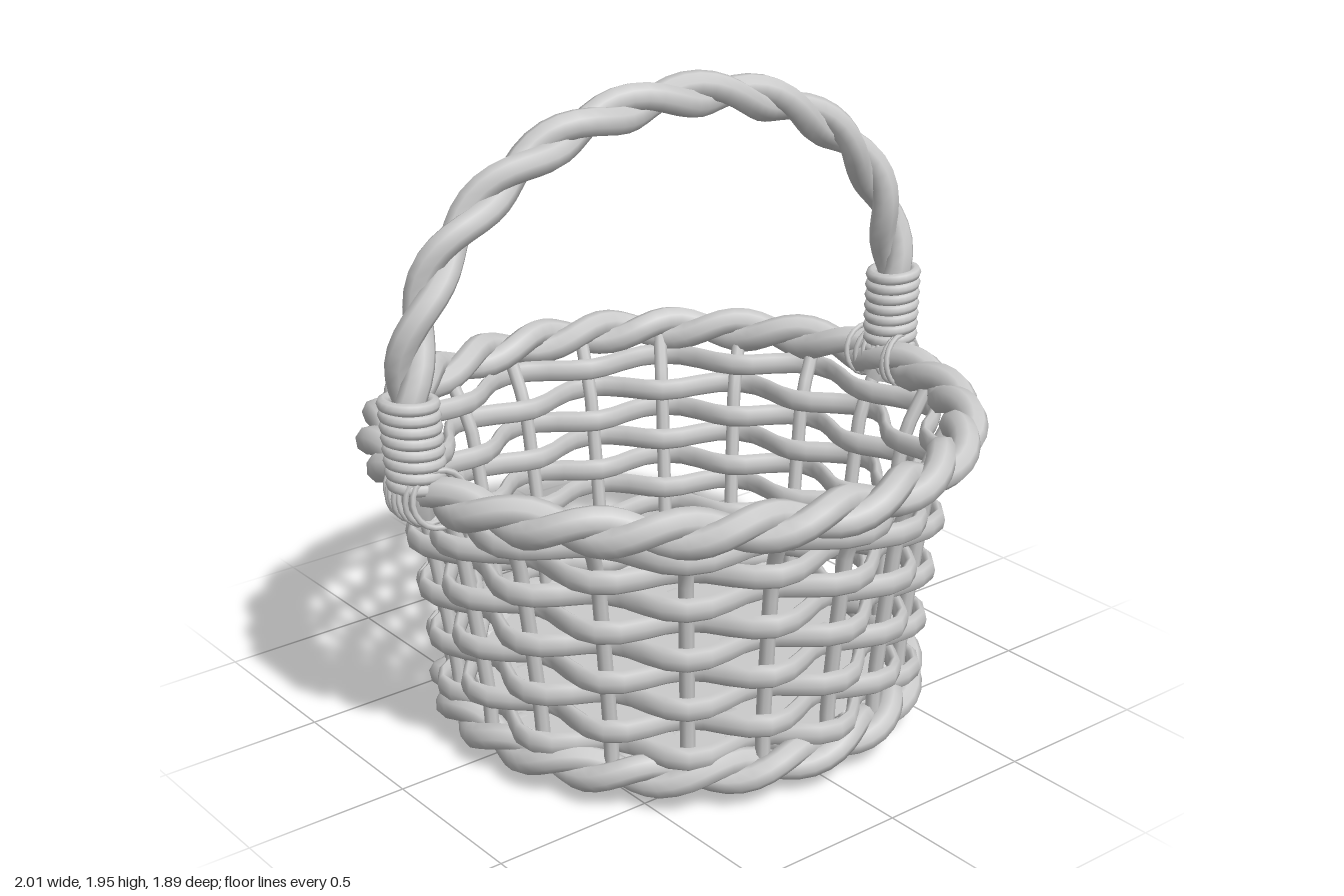
import * as THREE from 'three';

const material = new THREE.MeshStandardMaterial({ color: 0xcccccc, side: THREE.DoubleSide });
const V = (x, y, z) => new THREE.Vector3(x, y, z);
const TAU = Math.PI * 2;
const STAKES = 20;

// Curve given by a plain function of t, sampled evenly in t
class PathCurve extends THREE.Curve {
  constructor(fn) { super(); this.fn = fn; }
  getPoint(t) { return this.fn(t); }
  getUtoTmapping(u) { return u; }
}

function add(parent, name, geometry) {
  const mesh = new THREE.Mesh(geometry, material);
  mesh.name = name;
  parent.add(mesh);
  return mesh;
}

function tube(fn, segments, radius, closed = false, sides = 8) {
  return new THREE.TubeGeometry(new PathCurve(fn), segments, radius, sides, closed);
}

// Twisted rope of two strands; frame(t) gives centre and two axes across the path
function rope(parent, name, frame, turns, segments, offset, radius, closed) {
  const group = new THREE.Group();
  group.name = name;
  for (let s = 0; s < 2; s++) {
    const strand = (t) => {
      const { p, n, b } = frame(t);
      const a = TAU * turns * t + s * Math.PI;
      return p.clone().addScaledVector(n, offset * Math.cos(a)).addScaledVector(b, offset * Math.sin(a));
    };
    add(group, name + 'Strand', tube(strand, segments, radius, closed));
  }
  parent.add(group);
}

const ringFrame = (R, y) => (t) => {
  const n = V(Math.sin(t * TAU), 0, Math.cos(t * TAU));
  return { p: n.clone().multiplyScalar(R).setY(y), n, b: V(0, 1, 0) };
};

// Wall profile: radius against height, flaring under the rim
const wall = [[0.05, 0.695], [0.2, 0.70], [0.4, 0.725], [0.57, 0.75], [0.73, 0.778], [0.81, 0.815], [0.91, 0.87]];
function wallRadius(y) {
  for (let i = 1; i < wall.length; i++) {
    const [y0, r0] = wall[i - 1], [y1, r1] = wall[i];
    if (y <= y1) return r0 + (r1 - r0) * (y - y0) / (y1 - y0);
  }
  return wall[wall.length - 1][1];
}

function buildWall(basket) {
  // Upright stakes
  for (let i = 0; i < STAKES; i++) {
    const a = (i / STAKES) * TAU;
    const points = wall.map(([y, r]) => V(r * Math.sin(a), y, r * Math.cos(a)));
    add(basket, 'stake', new THREE.TubeGeometry(new THREE.CatmullRomCurve3(points), 12, 0.022, 8));
  }
  // Flattened weavers passing in and out of the stakes
  for (let k = 0; k < 9; k++) {
    const y = 0.16 + 0.082 * k;
    const R = wallRadius(y), sign = k % 2 ? -1 : 1;
    const path = (t) => {
      const r = R + sign * 0.05 * Math.cos(t * TAU * STAKES / 2);
      return V(r * Math.sin(t * TAU), 0, r * Math.cos(t * TAU));
    };
    const geometry = tube(path, STAKES * 4, 0.019, true);
    geometry.scale(1, 1.9, 1).translate(0, y, 0);
    add(basket, 'weaver', geometry);
  }
}

function buildBase(basket) {
  const disc = add(basket, 'baseDisc', new THREE.CircleGeometry(0.625, 64));
  disc.rotation.x = -Math.PI / 2;
  disc.position.y = 0.11;
  // Paired rods across the base
  const pitch = 0.13, R = 0.66;
  for (let i = -4; i <= 4; i++) {
    for (const d of [-0.018, 0.018]) {
      const z = i * pitch + d;
      const rod = add(basket, 'baseRod', new THREE.CylinderGeometry(0.013, 0.013, 2 * Math.sqrt(R * R - z * z), 6));
      rod.rotation.z = Math.PI / 2;
      rod.position.set(0, 0.065, z);
    }
  }
  // Base weavers going over and under the rods
  for (let j = -6; j <= 6; j++) {
    const x = j * 0.1, half = Math.sqrt(R * R - x * x), sign = j % 2 ? -1 : 1;
    const path = (t) => {
      const z = (2 * t - 1) * half;
      return V(0, 0.07 + sign * 0.028 * Math.cos(Math.PI * z / pitch), z);
    };
    const geometry = tube(path, 48, 0.016, false, 6);
    geometry.scale(2.4, 1, 1).translate(x, 0, 0);
    add(basket, 'baseWeaver', geometry);
  }
}

function buildHandle(basket) {
  const half = [[0.87, 0.84], [0.905, 1.0], [0.915, 1.2], [0.865, 1.42], [0.75, 1.6], [0.56, 1.745], [0.3, 1.85]];
  const points = [
    ...half.map(([x, y]) => V(-x, y, 0)),
    V(0, 1.885, 0),
    ...half.slice().reverse().map(([x, y]) => V(x, y, 0)),
  ];
  const arch = new THREE.CatmullRomCurve3(points);
  const frame = (t) => {
    const u = THREE.MathUtils.clamp(t, 0, 1);
    const tangent = arch.getTangentAt(u);
    return { p: arch.getPointAt(u), n: V(-tangent.y, tangent.x, 0), b: V(0, 0, 1) };
  };
  rope(basket, 'handle', frame, 6.5, 80, 0.028, 0.042, false);

  for (const side of [-1, 1]) {
    // Coiled binding around the foot of the handle
    for (let i = 0; i < 8; i++) {
      const coil = add(basket, 'handleCoil', new THREE.TorusGeometry(0.07, 0.019, 8, 24));
      coil.position.set(side * (0.902 + 0.002 * i), 0.94 + 0.034 * i, 0);
      coil.rotation.set(Math.PI / 2, side * 0.08, 0);
    }
    // Thin lashing tying the handle to the rim
    for (let i = 0; i < 7; i++) {
      const f = i - 3;
      const loop = add(basket, 'rimLashing', new THREE.TorusGeometry(0.082, 0.009, 6, 20));
      loop.position.set(side * (0.9 - 0.002 * f * f), 0.91, f * 0.027);
      loop.rotation.set((i % 2 ? 1 : -1) * 0.1, side * f * 0.05, 0);
    }
  }
}

export function createModel() {
  const model = new THREE.Group();
  model.name = 'wickerBasket';
  const basket = new THREE.Group();
  basket.name = 'basket';
  model.add(basket);

  buildWall(basket);
  buildBase(basket);
  rope(basket, 'rim', ringFrame(0.872, 0.905), 12, 144, 0.03, 0.044, true);
  rope(basket, 'footRing', ringFrame(0.705, 0.088), 10, 120, 0.028, 0.04, true);
  buildHandle(basket);

  // The whole basket leans back slightly
  basket.rotation.x = -0.03;
  basket.position.z = 0.025;
  return model;
}
